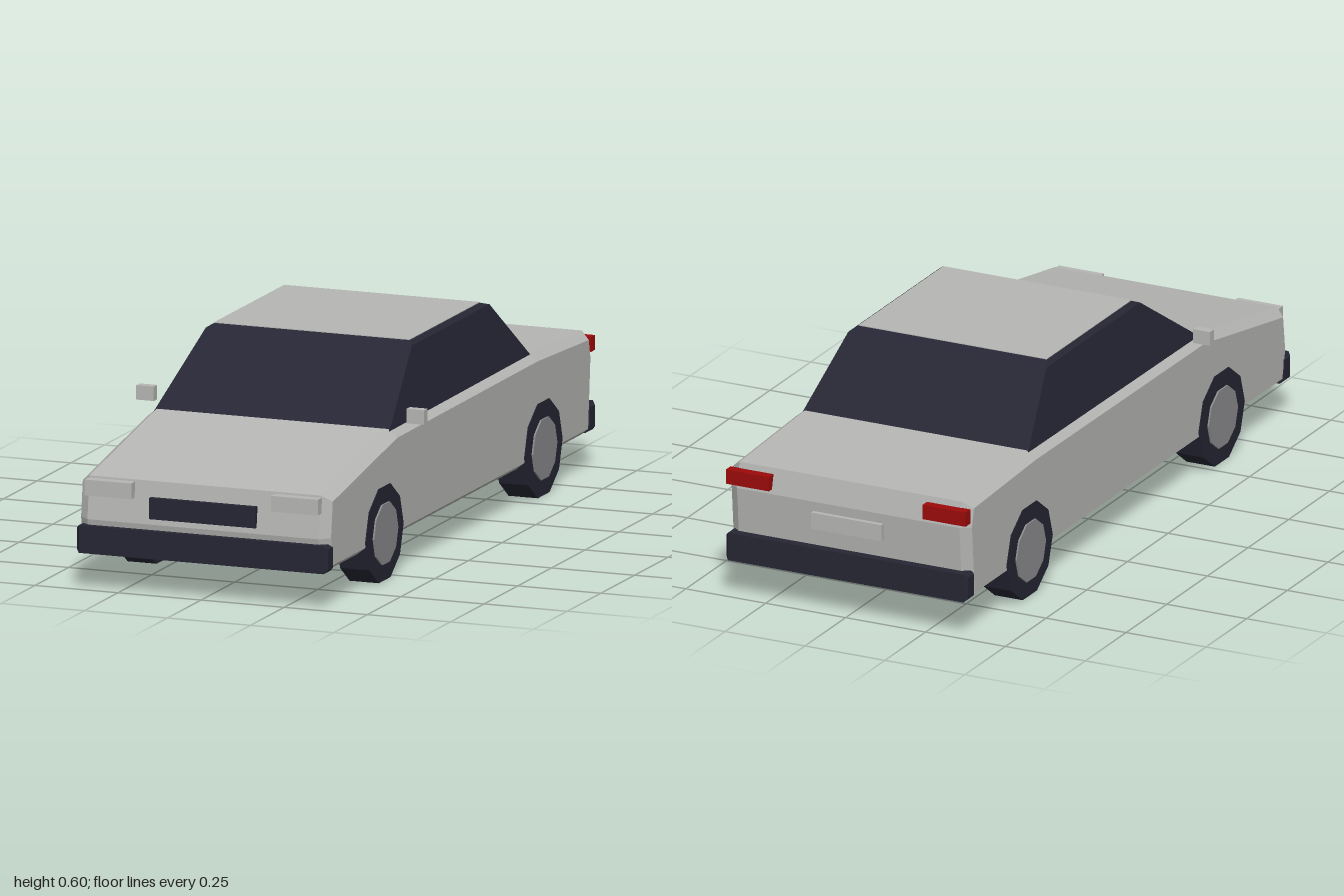
import * as THREE from 'three';

const mat = (name, color) => {
  const m = new THREE.MeshStandardMaterial({ color });
  m.name = name;
  return m;
};

// Side profile given as [z, y] points, extruded across x with a single chamfer
function slab(profile, width, size, thickness) {
  const shape = new THREE.Shape(profile.map(([z, y]) => new THREE.Vector2(z, y)));
  const depth = width - 2 * thickness;
  const geo = new THREE.ExtrudeGeometry(shape, {
    depth, bevelEnabled: true, bevelSegments: 1, bevelSize: size, bevelThickness: thickness,
  });
  return geo.translate(0, 0, -depth / 2).rotateY(-Math.PI / 2);
}

// Box given by its limits
function block(x0, x1, y0, y1, z0, z1) {
  return new THREE.BoxGeometry(x1 - x0, y1 - y0, z1 - z0)
    .translate((x0 + x1) / 2, (y0 + y1) / 2, (z0 + z1) / 2);
}

// Flat-shaded skin through rectangular rings [y, front z, back z, half width]
function loft(rings) {
  const corners = rings.map(([y, f, b, w]) => [[w, y, f], [w, y, b], [-w, y, b], [-w, y, f]]);
  const pos = [];
  for (let r = 0; r < rings.length - 1; r++) {
    for (let i = 0; i < 4; i++) {
      const j = (i + 1) % 4;
      const a = corners[r][i], b = corners[r][j], c = corners[r + 1][j], d = corners[r + 1][i];
      pos.push(...a, ...b, ...c, ...a, ...c, ...d);
    }
  }
  const geo = new THREE.BufferGeometry();
  geo.setAttribute('position', new THREE.Float32BufferAttribute(pos, 3));
  geo.computeVertexNormals();
  return geo;
}

export function createModel() {
  const paint = mat('silver paint', 0xb6b6b4);
  const dark = mat('dark glass and rubber', 0x262634);
  const hubGrey = mat('hub grey', 0x8b8b8e);
  const red = mat('red lamp', 0x9c0a0a);

  const car = new THREE.Group();
  car.name = 'car';
  const add = (name, geo, material, parent = car) => {
    const mesh = new THREE.Mesh(geo, material);
    mesh.name = name;
    parent.add(mesh);
    return mesh;
  };

  // Lower body with sloping bonnet and boot
  add('body', slab([
    [0.945, 0.12], [0.963, 0.2], [0.95, 0.302], [0.47, 0.386],
    [-0.57, 0.39], [-0.95, 0.373], [-0.962, 0.32], [-0.945, 0.12],
  ], 0.752, 0.022, 0.028), paint);

  // Glazed cabin and its painted roof panel
  add('windows', loft([
    [0.4, 0.48, -0.58, 0.355], [0.588, 0.2, -0.375, 0.31], [0.598, 0.178, -0.342, 0.294],
  ]), dark);
  add('roof', block(-0.294, 0.294, 0.592, 0.6, -0.342, 0.178), paint);

  // Bumpers
  const bumper = (z0, z1, y0, y1) => {
    const c = 0.01;
    return slab([
      [z1 - c, y0 + c], [z1 - c, y1 - c], [z0 + c, y1 - c], [z0 + c, y0 + c],
    ], 0.756, c, c);
  };
  add('frontBumper', bumper(0.945, 1, 0.104, 0.183), dark);
  add('rearBumper', bumper(-1, -0.945, 0.108, 0.19), dark);

  // Grille and rear plate
  add('grille', block(-0.16, 0.16, 0.216, 0.276, 0.95, 0.992), dark);
  add('rearPlate', block(-0.11, 0.11, 0.245, 0.293, -0.996, -0.96), paint);

  // Parts repeated on both sides
  for (const [side, s] of [['left', 1], ['right', -1]]) {
    const pair = (name, x0, x1, y0, y1, z0, z1, material) =>
      add(side + name, block(Math.min(s * x0, s * x1), Math.max(s * x0, s * x1), y0, y1, z0, z1), material);
    pair('Headlight', 0.21, 0.351, 0.27, 0.315, 0.955, 1, paint);
    pair('TailLight', 0.24, 0.375, 0.335, 0.377, -1, -0.97, red);
    pair('Mirror', 0.38, 0.433, 0.416, 0.457, 0.388, 0.414, paint);

    // Ten-sided wheels
    for (const [end, z] of [['Front', 0.57], ['Rear', -0.61]]) {
      const wheel = new THREE.Group();
      wheel.name = side + end + 'Wheel';
      wheel.position.set(s * 0.334, 0.134, z);
      const disc = (r, w) => {
        const g = new THREE.CylinderGeometry(r, r, w, 10).toNonIndexed();
        g.rotateZ(Math.PI / 2);
        g.computeVertexNormals();
        return g;
      };
      add('tyre', disc(0.141, 0.088), dark, wheel);
      add('hub', disc(0.09, 0.02), hubGrey, wheel).position.x = s * 0.039;
      car.add(wheel);
    }
  }
  return car;
}
